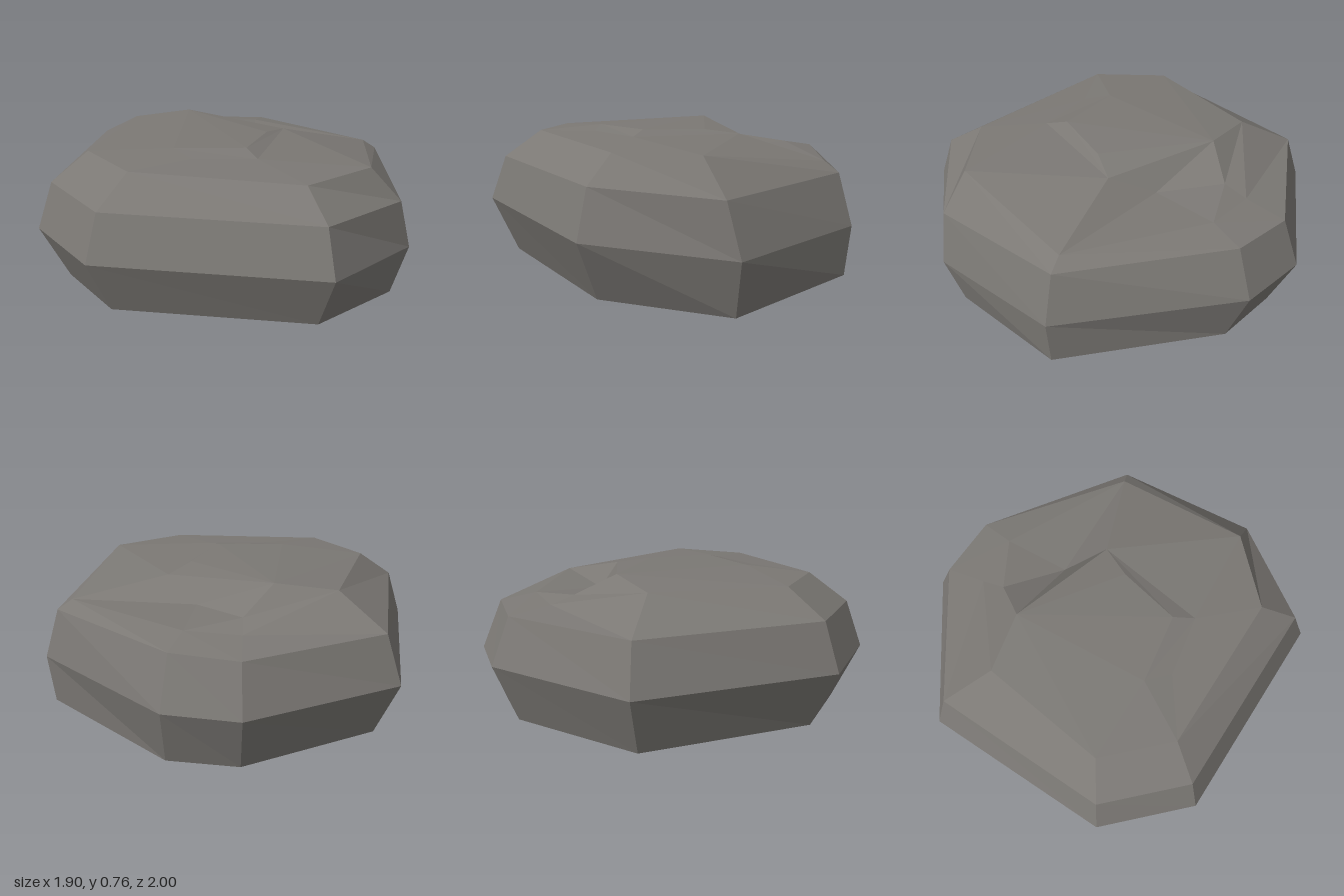
import * as THREE from 'three';

export function createModel() {
  const group = new THREE.Group();
  const stone = new THREE.MeshStandardMaterial({ color: 0x7b7874, flatShading: true });
  stone.name = 'stone grey';

  // Eight-sided cross-sections [x, y, z], from the base to the shoulder, clockwise from above
  const rings = [
    [[-0.22, 0.07, -0.88], [0.48, 0.07, -0.78], [0.73, 0.07, -0.55], [0.925, 0.07, 0.27],
      [0.47, 0, 0.78], [-0.13, 0.07, 0.87], [-0.82, 0.07, 0.18], [-0.82, 0.07, -0.26]],
    [[-0.25, 0.355, -1], [0.54, 0.36, -0.88], [0.79, 0.36, -0.63], [0.95, 0.32, 0.28],
      [0.5, 0.275, 0.85], [-0.17, 0.355, 1], [-0.95, 0.355, 0.21], [-0.95, 0.355, -0.3]],
    [[-0.22, 0.59, -0.92], [0.49, 0.59, -0.8], [0.71, 0.6, -0.57], [0.88, 0.57, 0.25],
      [0.43, 0.53, 0.83], [-0.15, 0.58, 0.92], [-0.87, 0.585, 0.19], [-0.87, 0.59, -0.28]],
    [[-0.16, 0.73, -0.65], [0.37, 0.62, -0.63], [0.57, 0.63, -0.46], [0.81, 0.62, 0.22],
      [0.31, 0.7, 0.73], [-0.1, 0.7, 0.73], [-0.68, 0.725, 0.15], [-0.68, 0.725, -0.24]],
  ];
  const positions = [];
  // Adds a convex face whose corners run clockwise as seen from outside
  const face = (...p) => {
    for (let i = 1; i < p.length - 1; i++) positions.push(...p[0], ...p[i + 1], ...p[i]);
  };

  // Sides
  for (let r = 0; r < rings.length - 1; r++) {
    for (let i = 0; i < 8; i++) {
      const j = (i + 1) % 8;
      face(rings[r][i], rings[r][j], rings[r + 1][j], rings[r + 1][i]);
    }
  }
  // Underside, fanned from the lowest corner
  const base = rings[0];
  face(...[4, 3, 2, 1, 0, 7, 6, 5].map((i) => base[i]));

  // Crown: a small plateau, a chipped notch and sloping facets around them
  const [a, b, c, d, e, f, g, h] = rings[3];
  const peak = [0.09, 0.765, -0.48];
  const notchBack = [0.3, 0.655, -0.53];
  const notchLow = [0.345, 0.625, -0.2];
  const notchTip = [0.37, 0.72, 0.03];
  const left = [-0.37, 0.755, 0.06];
  const front = [-0.08, 0.755, 0.27];
  const right = [0.2, 0.745, 0.09];
  const lowLeft = [-0.36, 0.735, 0.2];
  const lowFront = [-0.1, 0.73, 0.38];
  [
    [peak, right, front, left],
    [peak, notchTip, right],
    [peak, notchBack, notchLow, notchTip],
    [a, b, notchBack, peak],
    [b, c, notchBack],
    [notchBack, c, notchLow],
    [c, d, notchLow],
    [notchLow, d, notchTip],
    [d, e, notchTip],
    [notchTip, e, lowFront],
    [notchTip, lowFront, front, right],
    [e, f, lowFront],
    [f, g, lowLeft, lowFront],
    [left, front, lowFront, lowLeft],
    [g, h, left, lowLeft],
    [h, a, peak, left],
  ].forEach((corners) => face(...corners));

  const geometry = new THREE.BufferGeometry();
  geometry.setAttribute('position', new THREE.Float32BufferAttribute(positions, 3));
  geometry.computeVertexNormals();
  const rock = new THREE.Mesh(geometry, stone);
  rock.name = 'rock';
  group.add(rock);
  return group;
}
